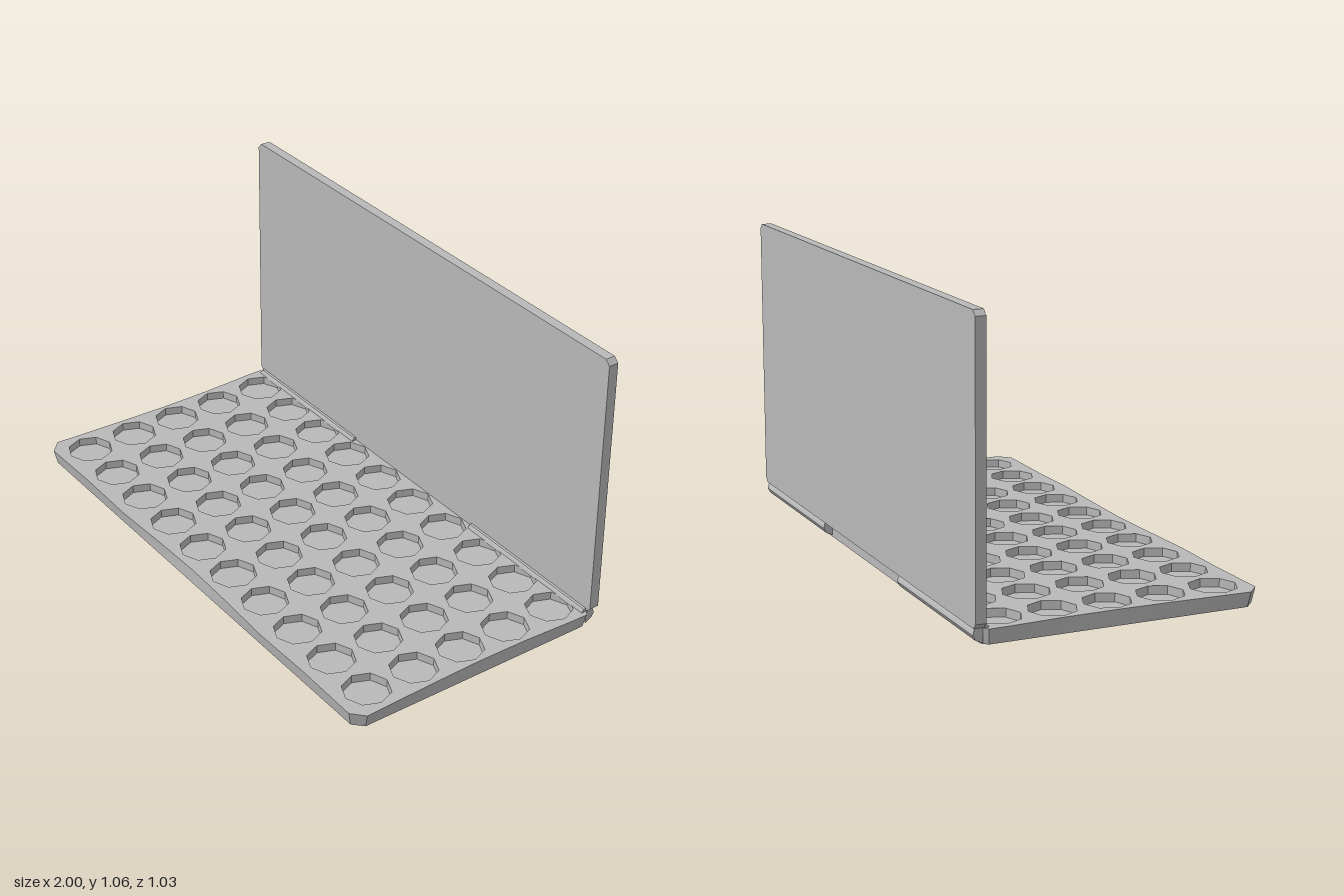
import * as THREE from 'three';
import { toCreasedNormals } from 'three/addons/utils/BufferGeometryUtils.js';

const TOP = 0.055, WELL_FLOOR = 0.025, WELL_R = 0.084;

// Closed outline from its right half (x, z), front centre to back corner
function mirrorOutline(half) {
  const left = half.slice(1).reverse().map(([x, z]) => [-x, z]);
  return [...half, ...left];
}

// Flat horizontal shape from (x, z) points, facing up
const toShape = (pts) => new THREE.Shape(pts.map(([x, z]) => new THREE.Vector2(x, -z)));

// Wall between two matching outlines at heights y0 and y1
function loftWall(low, high, y0, y1) {
  const pos = [], index = [], n = low.length;
  low.forEach(([x, z], i) => pos.push(x, y0, z, high[i][0], y1, high[i][1]));
  for (let i = 0; i < n; i++) {
    const a = 2 * i, b = 2 * ((i + 1) % n);
    index.push(a, b, b + 1, a, b + 1, a + 1);
  }
  const g = new THREE.BufferGeometry();
  g.setAttribute('position', new THREE.Float32BufferAttribute(pos, 3));
  g.setIndex(index);
  return toCreasedNormals(g, 0.5);
}

// Profile in (z, y) swept along x from x0 over the given length
function extrudeAlongX(profile, x0, length) {
  const shape = new THREE.Shape(profile.map(([z, y]) => new THREE.Vector2(-z, y)));
  const g = new THREE.ExtrudeGeometry(shape, { depth: length, bevelEnabled: false });
  return toCreasedNormals(g.rotateY(Math.PI / 2).translate(x0, 0, 0), 0.7);
}

export function createModel() {
  const model = new THREE.Group();
  model.name = 'wellTrayCase';
  const grey = new THREE.MeshStandardMaterial({ color: 0xb8b8b8 });
  grey.name = 'grey';
  const add = (name, geometry, parent = model) => {
    const mesh = new THREE.Mesh(geometry, grey);
    mesh.name = name;
    parent.add(mesh);
    return mesh;
  };

  // Tray: straight underside, gently wavy upper rim
  const upper = mirrorOutline([
    [0, 0.497], [0.2, 0.502], [0.45, 0.512], [0.7, 0.508], [0.955, 0.512], [1, 0.47],
    [0.99, 0.2], [0.985, 0], [0.987, -0.2], [0.997, -0.4], [0.998, -0.465], [0.98, -0.48],
  ]);
  const lower = mirrorOutline([
    [0, 0.5], [0.2, 0.5], [0.45, 0.5], [0.7, 0.5], [0.95, 0.5], [0.985, 0.465],
    [0.985, 0.2], [0.985, 0], [0.985, -0.2], [0.985, -0.4], [0.985, -0.46], [0.965, -0.48],
  ]);
  const tray = new THREE.Group();
  tray.name = 'tray';
  model.add(tray);
  add('trayWall', loftWall(lower, upper, 0, TOP), tray);
  add('trayBottom', new THREE.ShapeGeometry(toShape(lower)).rotateX(Math.PI / 2).scale(1, 1, -1)
    .rotateX(0), tray).geometry = new THREE.ShapeGeometry(toShape(lower.map(([x, z]) => [x, -z])))
    .rotateX(Math.PI / 2);

  // Tray top pierced by a grid of octagonal wells
  const deck = toShape(upper);
  const wellWall = new THREE.CylinderGeometry(WELL_R, WELL_R, TOP - WELL_FLOOR, 8, 1, true)
    .toNonIndexed().scale(-1, 1, 1);
  wellWall.computeVertexNormals();
  const wellFloor = new THREE.CircleGeometry(WELL_R, 8).rotateX(-Math.PI / 2);
  for (let col = 0; col < 10; col++) {
    for (let row = 0; row < 5; row++) {
      const x = (col - 4.5) * 0.197, z = (row - 2) * 0.195;
      const hole = [];
      for (let k = 0; k < 8; k++) {
        const a = -k * Math.PI / 4;
        hole.push(new THREE.Vector2(x + WELL_R * Math.cos(a), -z + WELL_R * Math.sin(a)));
      }
      deck.holes.push(new THREE.Path(hole));
      add('wellWall', wellWall, tray).position.set(x, (TOP + WELL_FLOOR) / 2, z);
      add('wellFloor', wellFloor, tray).position.set(x, WELL_FLOOR, z);
    }
  }
  add('trayTop', new THREE.ShapeGeometry(deck).rotateX(-Math.PI / 2).translate(0, TOP, 0), tray);

  // Upright lid with small cut corners
  const c = 0.018, y0 = 0.057, y1 = 1.06;
  const lid = new THREE.Shape([
    [-1 + c, y0], [1 - c, y0], [1, y0 + c], [1, y1 - c],
    [1 - c, y1], [-1 + c, y1], [-1, y1 - c], [-1, y0 + c],
  ].map(([x, y]) => new THREE.Vector2(x, y)));
  add('lid', new THREE.ExtrudeGeometry(lid, { depth: 0.037, bevelEnabled: false })
    .translate(0, 0, -0.512));

  // Hinges: rounded barrel behind the tray and a sloping leaf in front of the lid
  const barrel = [[-0.478, 0.004], [-0.488, 0.01], [-0.503, 0.016], [-0.513, 0.034],
    [-0.509, 0.05], [-0.503, 0.058], [-0.478, 0.058]];
  const leaf = [[-0.476, 0.05], [-0.476, 0.068], [-0.466, 0.067], [-0.457, 0.056], [-0.457, 0.05]];
  for (const [side, x0] of [['left', 0.355], ['right', -0.98]]) {
    add(side + 'HingeBarrel', extrudeAlongX(barrel.slice().reverse(), x0, 0.625));
    add(side + 'HingeLeaf', extrudeAlongX(leaf.slice().reverse(), x0, 0.625));
  }
  return model;
}
